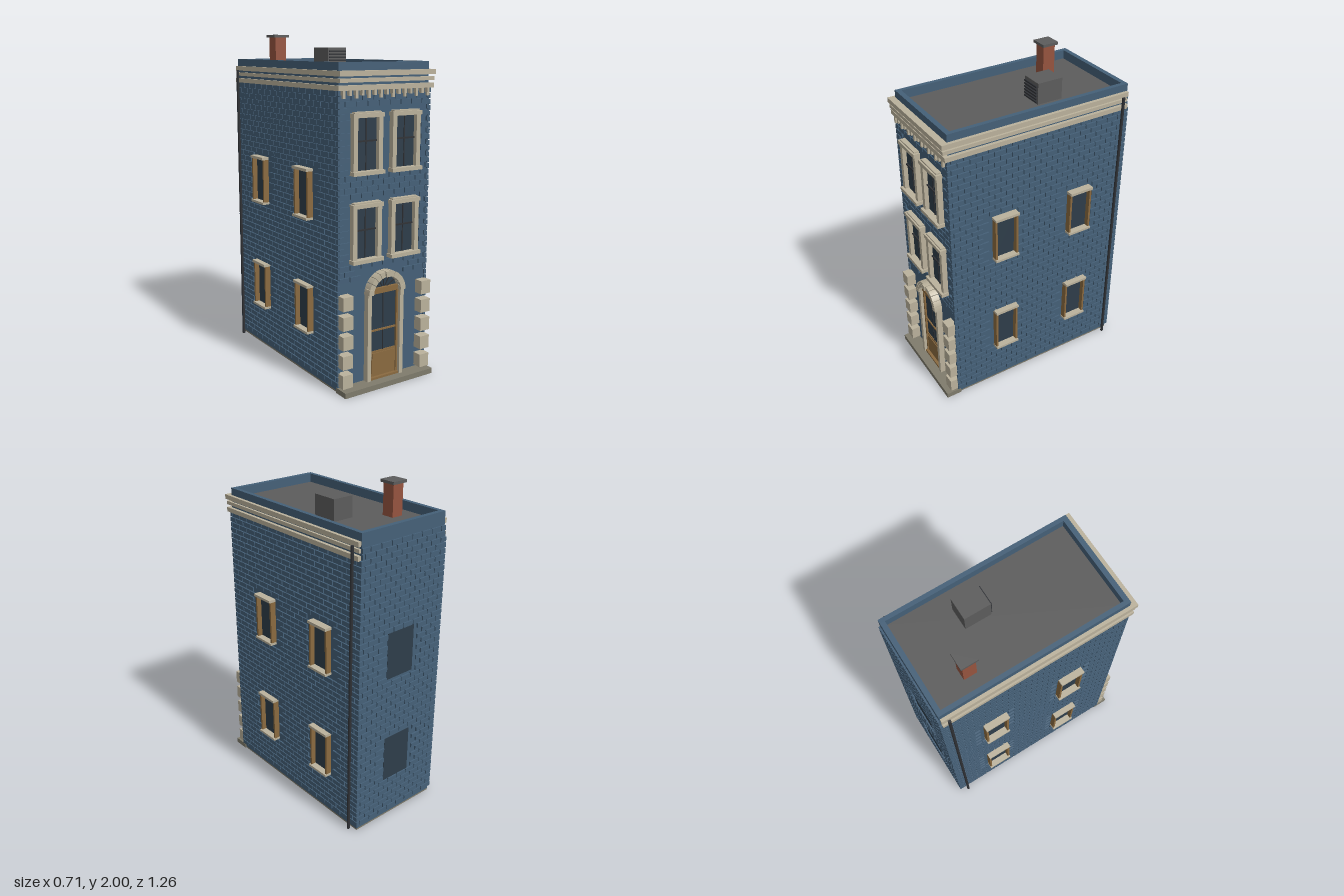
import * as THREE from 'three';
import { mergeGeometries } from 'three/addons/utils/BufferGeometryUtils.js';

const mat = (name, color, side = THREE.FrontSide) => {
  const m = new THREE.MeshStandardMaterial({ color, side });
  m.name = name;
  return m;
};

// Box from its limits on each axis
function box(x0, x1, y0, y1, z0, z1) {
  const g = new THREE.BoxGeometry(x1 - x0, y1 - y0, z1 - z0);
  return g.translate((x0 + x1) / 2, (y0 + y1) / 2, (z0 + z1) / 2);
}

export function createModel() {
  const root = new THREE.Group();
  root.name = 'townhouse';
  const wall = mat('blue brick', 0x456078);
  const stone = mat('pale stone', 0xbbb29c);
  const wood = mat('brown wood', 0x8a6a40);
  const glass = mat('dark glass', 0x2e3d4a);
  const roofGrey = mat('roof grey', 0x5c5c5c);
  const metal = mat('dark metal', 0x303236);
  const red = mat('chimney brick', 0x96543f);
  const step = mat('step stone', 0x7f7b6c);

  const add = (name, material, geos, parent = root) => {
    const m = new THREE.Mesh(geos.length > 1 ? mergeGeometries(geos) : geos[0], material);
    m.name = name;
    parent.add(m);
    return m;
  };

  const W = 0.307, F = 0.543, B = -0.617, T = 0.01;

  // Main block, roof and parapet
  add('walls', wall, [box(-W, W, 0.01, 1.79, B, F)]);
  add('basePlate', step, [box(-W, W, 0, 0.01, B, F)]);
  add('roof', roofGrey, [box(-0.282, 0.282, 1.785, 1.797, -0.59, 0.514)]);
  add('parapet', wall, [
    box(-W, -0.281, 1.79, 1.85, B, F), box(0.281, W, 1.79, 1.85, B, F),
    box(-0.281, 0.281, 1.79, 1.85, 0.513, F), box(-0.281, 0.281, 1.79, 1.85, B, -0.588),
  ]);

  // Running-bond bricks on one wall, leaving out those that touch an opening [u0, u1, v0, v1]
  function bricks(u0, u1, v0, v1, holes, place) {
    const geos = [], pitch = 0.0335, len = 0.075, gap = 0.006;
    const rows = Math.floor((v1 - v0) / pitch);
    for (let r = 0; r < rows; r++) {
      const b = v0 + r * pitch, t = b + pitch - gap;
      for (let u = u0 - (r % 2) * len / 2; u < u1 - 0.01; u += len) {
        const l = Math.max(u, u0), e = Math.min(u + len - gap, u1);
        if (e - l < 0.01) continue;
        if (holes.some(h => l < h[1] && e > h[0] && b < h[3] && t > h[2])) continue;
        geos.push(place(l, e, b, t));
      }
    }
    return geos;
  }

  const frontWindows = [];
  for (const x of [-0.132, 0.132]) for (const y of [0.75, 1.245]) frontWindows.push([x, y]);
  const sideWindows = [];
  for (const z of [0.207, -0.307]) for (const y of [0.275, 0.96]) sideWindows.push([z, y]);
  const backWindows = [[-0.1, 0.1, 0.265, 0.555], [-0.1, 0.1, 0.95, 1.24]];

  const frontHoles = frontWindows.map(([x, y]) => [x - 0.1, x + 0.1, y, y + 0.34]);
  frontHoles.push([-0.13, 0.13, 0, 0.68]);
  add('frontBricks', wall, bricks(-W, W, 0.645, 1.7, frontHoles,
    (a, b, c, d) => box(a, b, c, d, F - 0.005, F + T)));
  add('backBricks', wall, bricks(-W, W, 0.035, 1.79, backWindows,
    (a, b, c, d) => box(a, b, c, d, B - T, B + 0.005)));
  const sideHoles = sideWindows.map(([z, y]) => [z - 0.078, z + 0.078, y, y + 0.295]);
  for (const s of [1, -1]) {
    const x0 = s > 0 ? W - 0.005 : -W - T, x1 = s > 0 ? W + T : -W + 0.005;
    add(s > 0 ? 'leftBricks' : 'rightBricks', wall, bricks(B - T, F + T, 0.035, 1.71, sideHoles,
      (a, b, c, d) => box(x0, x1, c, d, a, b)));
  }

  // Back windows, set flush in the wall
  add('backWindows', glass, backWindows.map(([a, b, c, d]) => box(a, b, c, d, B - 0.003, B + 0.003)));

  // Front windows with stone surrounds
  for (const [x, y] of frontWindows) {
    const g = new THREE.Group();
    g.name = 'frontWindow';
    g.position.set(x, y, F);
    root.add(g);
    add('windowSurround', stone, [
      box(-0.098, -0.07, 0.02, 0.312, 0, 0.032), box(0.07, 0.098, 0.02, 0.312, 0, 0.032),
      box(-0.103, 0.103, 0.312, 0.335, 0, 0.04), box(-0.09, 0.09, 0.335, 0.343, 0, 0.03),
      box(-0.105, 0.105, 0, 0.022, 0, 0.047),
    ], g);
    add('windowGlass', glass, [box(-0.07, 0.07, 0.022, 0.312, 0, 0.006)], g);
    add('windowBars', metal, [
      box(-0.07, 0.07, 0.179, 0.188, 0.004, 0.014), box(-0.003, 0.003, 0.022, 0.312, 0.004, 0.01),
    ], g);
  }

  // Side windows, built facing +z and turned outward
  for (const s of [1, -1]) for (const [z, y] of sideWindows) {
    const g = new THREE.Group();
    g.name = 'sideWindow';
    g.position.set(s * W, y, z);
    g.rotation.y = s * Math.PI / 2;
    root.add(g);
    add('sideWindowLedges', stone, [
      box(-0.078, 0.078, 0.281, 0.297, 0, 0.046), box(-0.078, 0.078, 0, 0.014, 0, 0.046),
    ], g);
    add('sideWindowFrame', wood, [
      box(-0.076, -0.063, 0.014, 0.281, 0, 0.036), box(0.063, 0.076, 0.014, 0.281, 0, 0.036),
    ], g);
    add('sideWindowGlass', glass, [box(-0.063, 0.063, 0.014, 0.281, 0, 0.006)], g);
  }

  // Cornice bands on the front and both sides
  const bands = [[1.778, 1.806, 0.02, 0.04], [1.745, 1.766, 0.014, 0.034], [1.703, 1.73, 0.02, 0.026]];
  for (const [y0, y1, out, front] of bands) {
    add('corniceBand', stone, [
      box(-W - out, W + out, y0, y1, F - 0.01, F + front),
      box(-W - out, -W + 0.005, y0, y1, B + 0.005, F - 0.01),
      box(W - 0.005, W + out, y0, y1, B + 0.005, F - 0.01),
    ]);
  }

  // Brackets under the front cornice, alternately long and short
  const teeth = [];
  for (let i = 0; i < 15; i++) {
    const x = -0.287 + i * 0.041;
    teeth.push(box(x - 0.008, x + 0.008, i % 2 ? 1.675 : 1.66, 1.703, F, F + 0.024));
  }
  add('corniceBrackets', stone, teeth);

  // Corner blocks beside the entrance
  const quoins = [];
  for (const s of [1, -1]) for (let i = 0; i < 5; i++) {
    const y = 0.042 + i * 0.1145;
    quoins.push(box(s * 0.277 - 0.034, s * 0.277 + 0.034, y, y + 0.08, F - 0.005, 0.6));
  }
  add('cornerBlocks', stone, quoins);

  // Front step
  add('frontStep', step, [box(-0.315, 0.315, 0, 0.032, F - 0.01, 0.63)]);

  // Door surround: jambs and an arch of wedge stones
  const archY = 0.553;
  add('doorJambs', stone, [
    box(-0.128, -0.102, 0.032, archY, F, 0.58), box(0.102, 0.128, 0.032, archY, F, 0.58),
  ]);
  const wedges = [], count = 11;
  for (let i = 0; i < count; i++) {
    const a0 = Math.PI * i / count + 0.012, a1 = Math.PI * (i + 1) / count - 0.012;
    const s = new THREE.Shape();
    s.absarc(0, 0, 0.13, a0, a1, false);
    s.absarc(0, 0, 0.096, a1, a0, true);
    const depth = i === 5 ? 0.058 : 0.05;
    wedges.push(new THREE.ExtrudeGeometry(s, { depth, bevelEnabled: false, curveSegments: 3 })
      .translate(0, archY, F));
  }
  add('doorArch', stone, wedges);

  // Fanlight
  add('fanlightGlass', glass, [new THREE.CircleGeometry(0.1, 20, 0, Math.PI).translate(0, archY, F + 0.006)]);
  const spokes = [];
  for (let i = 1; i < 6; i++) {
    spokes.push(box(0.02, 0.097, -0.002, 0.002, 0, 0.006)
      .rotateZ(Math.PI * i / 6).translate(0, archY + 0.015, F + 0.006));
  }
  add('fanlightBars', metal, spokes);

  // Door
  add('doorFrame', wood, [
    box(-0.102, 0.102, 0.56, 0.582, F, F + 0.024),
    box(-0.102, -0.09, 0.032, 0.56, F, F + 0.018), box(0.09, 0.102, 0.032, 0.56, F, F + 0.018),
    box(-0.09, 0.09, 0.545, 0.56, F, F + 0.014), box(-0.09, 0.09, 0.321, 0.331, F, F + 0.014),
    box(-0.125, 0.125, 0.032, 0.045, F, F + 0.03),
  ]);
  add('doorPanel', wood, [
    box(-0.09, 0.09, 0.045, 0.2, F, F + 0.012), box(-0.08, 0.08, 0.065, 0.188, F, F + 0.017),
  ]);
  add('doorGlass', glass, [box(-0.09, 0.09, 0.2, 0.545, F, F + 0.006)]);
  add('doorBar', metal, [box(-0.002, 0.002, 0.2, 0.545, F, F + 0.01)]);

  // Downpipes near the back corners
  for (const s of [1, -1]) {
    add('downpipe', metal, [
      new THREE.CylinderGeometry(0.009, 0.009, 1.78, 10).translate(s * 0.333, 0.892, -0.574),
    ]);
  }

  // Chimney
  add('chimney', red, [box(-0.192, -0.118, 1.79, 1.986, -0.403, -0.325)]);
  add('chimneyCap', roofGrey, [box(-0.206, -0.104, 1.984, 2, -0.416, -0.313)]);

  // Roof unit with louvres on the front
  add('roofUnit', roofGrey, [box(0.043, 0.177, 1.79, 1.922, -0.252, -0.093)]);
  const slats = [];
  for (let i = 0; i < 6; i++) {
    const y = 1.805 + i * 0.018;
    slats.push(box(0.05, 0.17, y, y + 0.009, -0.094, -0.084));
  }
  add('roofUnitLouvres', metal, slats);

  return root;
}
